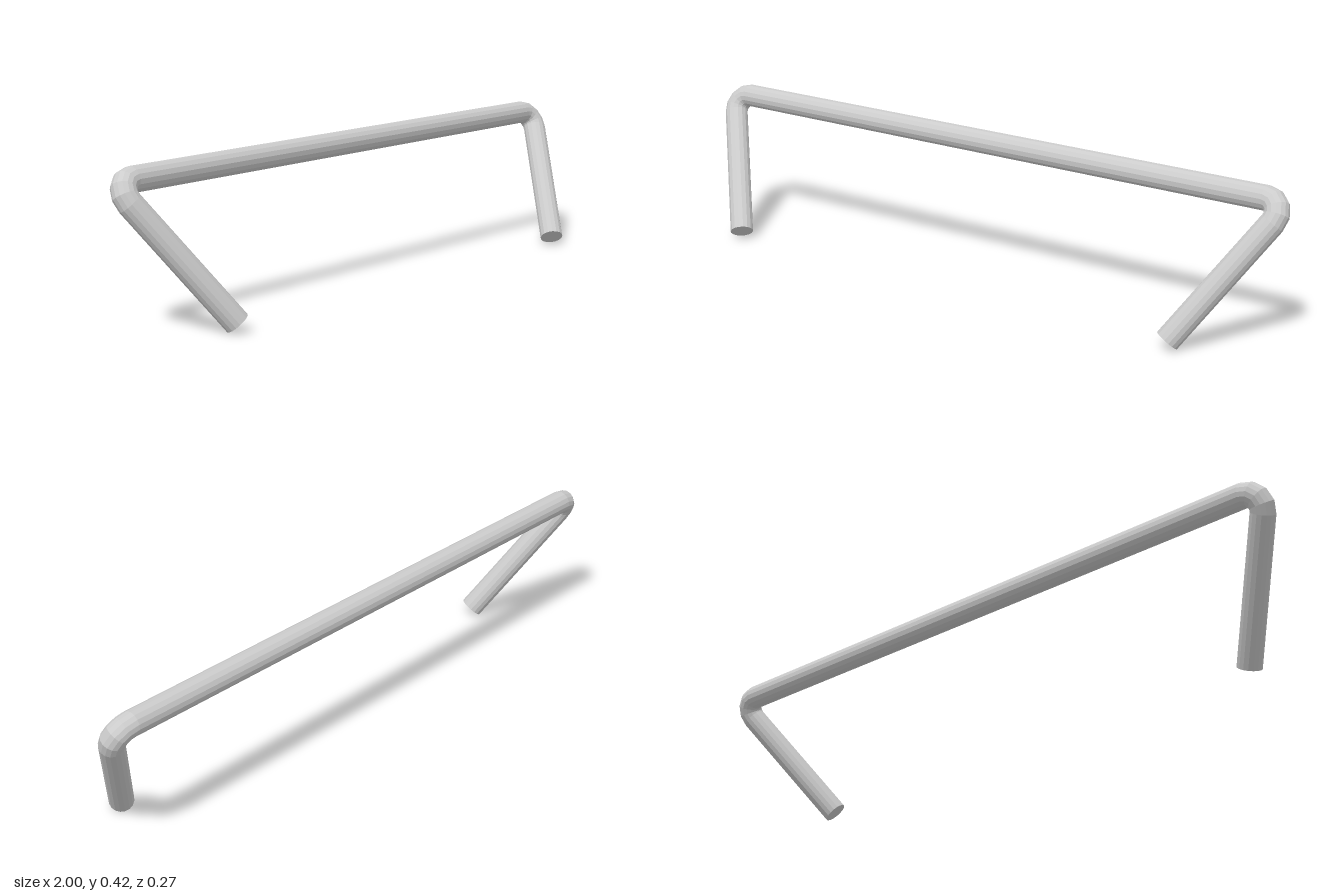
import * as THREE from 'three';

const RADIUS = 0.034;              // rod thickness
const BEND = 0.041;                // centreline radius of the corners
const SIDES = 16;
const BAR_END = 0.925;             // x where the straight bar meets the bend
const OVER = THREE.MathUtils.degToRad(28); // how far the legs fold inwards past square
const LEG = 0.405;

export function createModel() {
  const model = new THREE.Group();
  model.name = 'bentRodHandle';
  const material = new THREE.MeshStandardMaterial({ color: 0xcccccc, flatShading: true });

  const add = (name, geometry) => {
    const mesh = new THREE.Mesh(geometry, material);
    mesh.name = name;
    model.add(mesh);
    return mesh;
  };

  // Long straight bar
  add('bar', new THREE.CylinderGeometry(RADIUS, RADIUS, BAR_END * 2, SIDES, 1, true))
    .rotation.z = Math.PI / 2;

  for (const [side, s] of [['left', 1], ['right', -1]]) {
    // Rounded corner
    const bend = add(side + 'Bend', new THREE.TorusGeometry(BEND, RADIUS, SIDES, 4, Math.PI / 2 + OVER));
    bend.position.set(s * BAR_END, -BEND, 0);
    bend.rotation.z = s > 0 ? -OVER : Math.PI / 2;

    // Leg folding inwards from the corner
    const leg = add(side + 'Leg', new THREE.CylinderGeometry(RADIUS, RADIUS, LEG, SIDES));
    const startX = BAR_END + BEND * Math.cos(OVER);
    const startY = -BEND - BEND * Math.sin(OVER);
    leg.position.set(
      s * (startX - Math.sin(OVER) * LEG / 2),
      startY - Math.cos(OVER) * LEG / 2,
      0
    );
    leg.rotation.z = -s * OVER;
  }

  // Lean the whole rod backwards
  model.rotation.x = -Math.PI / 6;
  model.position.set(0, 0.383, -0.1);
  const root = new THREE.Group();
  root.name = 'handle';
  root.add(model);
  return root;
}
